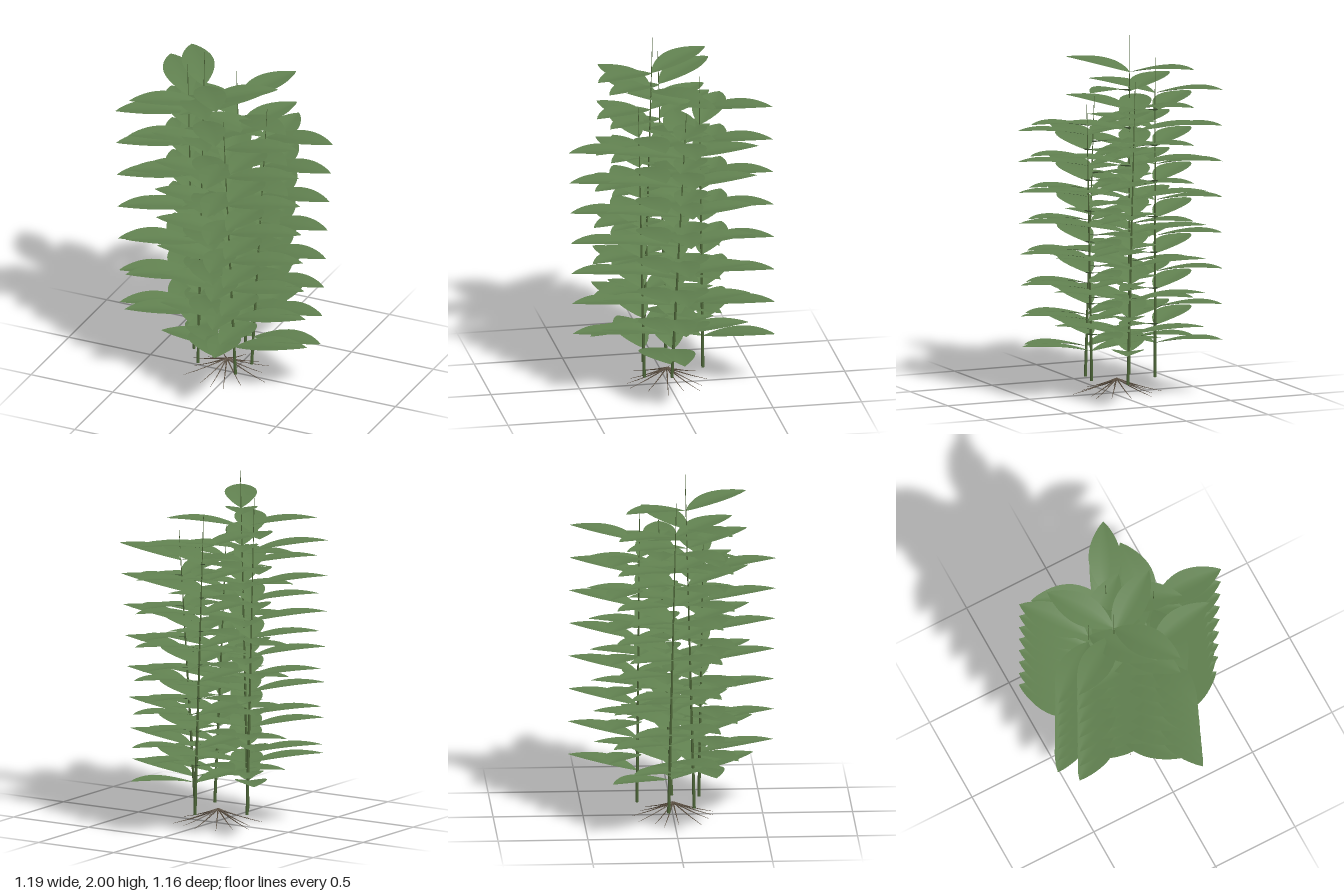
import * as THREE from 'three';

const leafMat = new THREE.MeshStandardMaterial({ color: 0x618150, side: THREE.DoubleSide });
const stemMat = new THREE.MeshStandardMaterial({ color: 0x4d6638 });
const rootMat = new THREE.MeshStandardMaterial({ color: 0x5a4e40 });

const LEAF_LENGTH = 0.42, LEAF_HALF_WIDTH = 0.09;
const NODES = 15, BASE_Y = 0.077;

// Pointed oval blade growing along +z, arching up and lightly folded along the midrib
function leafGeometry() {
  const geo = new THREE.PlaneGeometry(2, 1, 6, 14);
  const p = geo.attributes.position;
  for (let i = 0; i < p.count; i++) {
    const t = p.getY(i) + 0.5;
    const width = LEAF_HALF_WIDTH * Math.pow(Math.max(0, Math.sin(Math.PI * Math.pow(t, 0.95))), 0.85);
    const x = -p.getX(i) * width;
    const y = 0.105 * t - 0.055 * t * t + 0.13 * Math.abs(x);
    p.setXYZ(i, x, y, t * LEAF_LENGTH);
  }
  geo.computeVertexNormals();
  return geo;
}

// Round rod that follows a curve and narrows towards its end
function taperedRod(curve, r0, r1, segments, sides) {
  const geo = new THREE.TubeGeometry(curve, segments, 1, sides);
  const p = geo.attributes.position;
  const v = new THREE.Vector3();
  for (let i = 0; i < p.count; i++) {
    const t = Math.floor(i / (sides + 1)) / segments;
    const c = curve.getPointAt(t);
    v.fromBufferAttribute(p, i).sub(c).multiplyScalar(r0 + (r1 - r0) * t).add(c);
    p.setXYZ(i, v.x, v.y, v.z);
  }
  return geo;
}

// Base and top positions [x, z], height, and the heading [x, z] of the topmost leaf pair
const STEMS = [
  { base: [-0.25, -0.037], top: [-0.27, 0.005], height: 1.87, heading: [-0.285, -0.36] },
  { base: [-0.158, 0.11], top: [-0.14, 0.06], height: 2.0, heading: [0.23, 0.34] },
  { base: [-0.01, -0.2], top: [-0.06, -0.188], height: 1.78, heading: [0.19, -0.39] },
  { base: [0.12, 0.0], top: [0.182, -0.07], height: 1.65, heading: [0.4, 0.015] },
  { base: [0.09, 0.15], top: [0.025, 0.172], height: 1.65, heading: [0.39, -0.068] },
];

function buildStem(spec, leafGeo) {
  const group = new THREE.Group();
  group.name = 'leafyStem';
  const from = new THREE.Vector3(spec.base[0], BASE_Y, spec.base[1]);
  const to = new THREE.Vector3(spec.top[0], spec.height, spec.top[1]);
  const curve = new THREE.LineCurve3(from, to);
  const stem = new THREE.Mesh(taperedRod(curve, 0.009, 0.0015, 12, 8), stemMat);
  stem.name = 'stem';
  group.add(stem);

  // Opposite leaf pairs, each pair a quarter turn from the one above
  const heading = Math.atan2(spec.heading[0], spec.heading[1]);
  for (let k = 0; k < NODES; k++) {
    const at = curve.getPoint(0.89 - 0.0559 * k);
    for (let side = 0; side < 2; side++) {
      const leaf = new THREE.Mesh(leafGeo, leafMat);
      leaf.name = 'leaf';
      leaf.position.copy(at);
      leaf.rotation.y = heading + (k % 2) * Math.PI / 2 + side * Math.PI;
      group.add(leaf);
    }
  }
  return group;
}

// Thin roots spreading from a central point down to the ground
function buildRoots() {
  const group = new THREE.Group();
  group.name = 'roots';
  const count = 14;
  for (let i = 0; i < count; i++) {
    const a = (i + 0.25 * Math.sin(i * 5)) / count * Math.PI * 2;
    const reach = 0.225 + 0.03 * Math.sin(i * 2.7);
    const at = (f, y) => new THREE.Vector3(-0.032 + Math.sin(a) * reach * f, y, Math.cos(a) * reach * f);
    const curve = new THREE.CatmullRomCurve3([at(0, 0.08), at(0.3, 0.052), at(0.65, 0.024), at(1, 0.001)]);
    const root = new THREE.Mesh(taperedRod(curve, 0.0045, 0.0008, 8, 6), rootMat);
    root.name = 'root';
    group.add(root);
  }
  return group;
}

export function createModel() {
  const model = new THREE.Group();
  model.name = 'leafyPlant';
  const leafGeo = leafGeometry();
  for (const spec of STEMS) model.add(buildStem(spec, leafGeo));
  model.add(buildRoots());
  return model;
}
